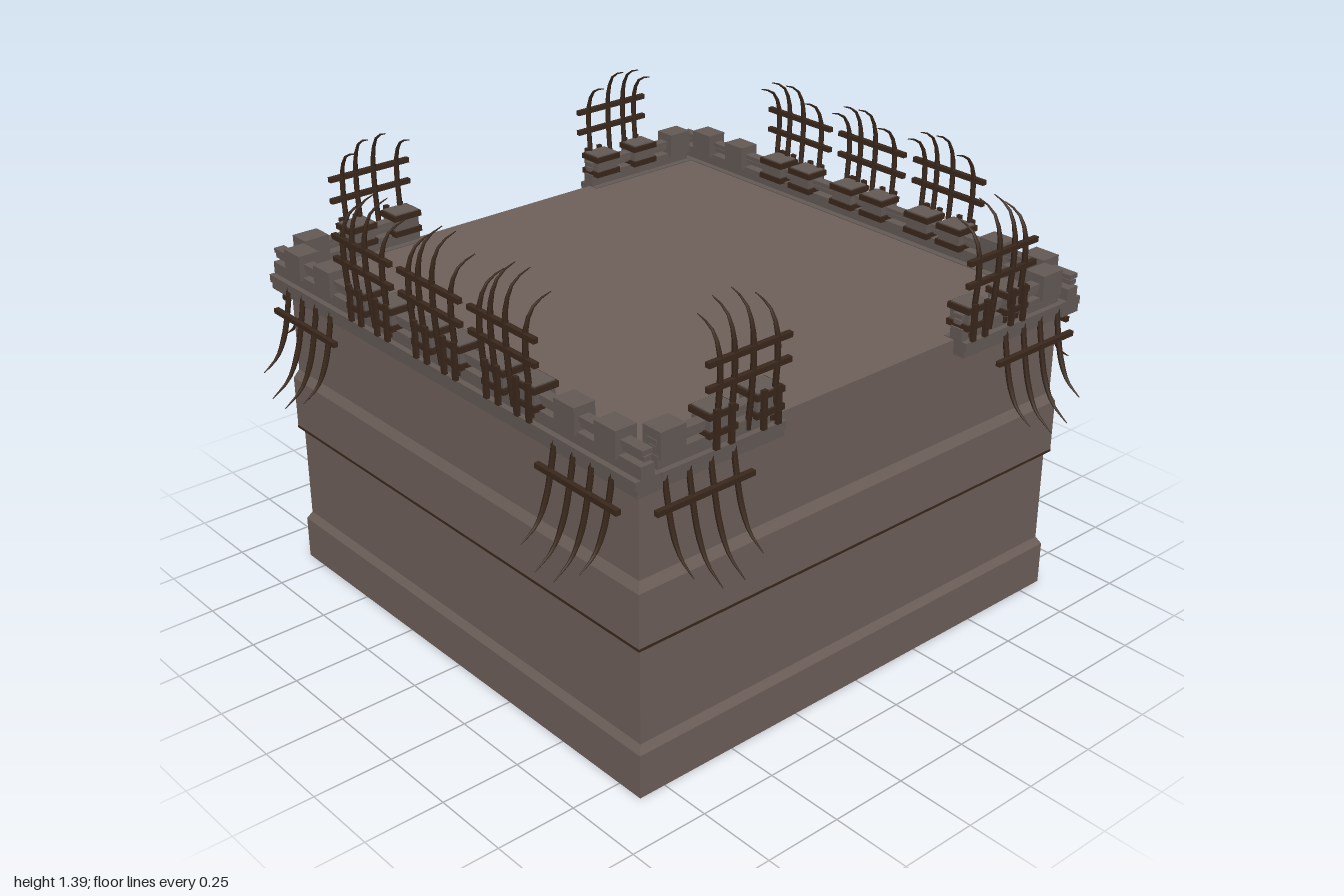
import * as THREE from 'three';

const body = new THREE.MeshStandardMaterial({ name: 'brown stone', color: 0x6e605a, side: THREE.DoubleSide });
const stone = new THREE.MeshStandardMaterial({ name: 'grey stone', color: 0x645a55 });
const wood = new THREE.MeshStandardMaterial({ name: 'dark wood', color: 0x3a281c });
const V = (x, y, z) => new THREE.Vector3(x, y, z);

function add(parent, name, geo, mat) {
  const mesh = new THREE.Mesh(geo, mat);
  mesh.name = name;
  parent.add(mesh);
  return mesh;
}

function box(parent, name, mat, w, h, d, x, y, z) {
  return add(parent, name, new THREE.BoxGeometry(w, h, d), mat).position.set(x, y, z);
}

// Curved bar that narrows to a point at its far end
function spike(parent, name, points, radius) {
  const n = 12, sides = 5;
  const curve = new THREE.CatmullRomCurve3(points);
  const geo = new THREE.TubeGeometry(curve, n, radius, sides);
  const pos = geo.attributes.position, p = V(0, 0, 0);
  for (let i = 0; i < pos.count; i++) {
    const t = Math.floor(i / (sides + 1)) / n;
    const c = curve.getPointAt(t);
    p.fromBufferAttribute(pos, i).sub(c).multiplyScalar(t < 0.6 ? 1 : 1 - (t - 0.6) * 2.1).add(c);
    pos.setXYZ(i, p.x, p.y, p.z);
  }
  add(parent, name, geo, wood);
}

// Upright fence of spikes hooking inwards at the top
function upperFence(side, u, flip) {
  const g = new THREE.Group();
  g.name = 'upperSpikeFence';
  const spikes = [[-0.1, 1.35], [-0.015, 1.39], [0.05, 1.385], [0.1, 1.35]];
  for (const [o, top] of spikes) {
    const s = (top - 1.1) / 0.29, x = u + flip * o;
    spike(g, 'upperSpike', [[0.85, -0.09], [0.863, 0.03], [0.868, 0.14], [0.86, 0.215], [0.832, 0.265], [0.78, 0.288]]
      .map(([d, h]) => V(x, 1.1 + (h > 0 ? h * s : h), d)), 0.009);
  }
  for (const y of [1.18, 1.25]) box(g, 'upperCrossbar', wood, 0.29, 0.016, 0.016, u, y, 0.868);
  side.add(g);
}

// Hanging spikes that flare outwards at the bottom
function lowerFence(side, sign) {
  const g = new THREE.Group();
  g.name = 'lowerSpikeFence';
  [[0.535, 0.72], [0.615, 0.68], [0.69, 0.685], [0.77, 0.735]].forEach(([u, bottom]) => {
    const s = (0.99 - bottom) / 0.31;
    spike(g, 'lowerSpike', [[0.862, 0], [0.878, 0.09], [0.902, 0.19], [0.94, 0.265], [1, 0.31]]
      .map(([d, h]) => V(sign * u, 0.99 - h * s, 0.862 + (d - 0.862) * s)), 0.009);
  });
  box(g, 'lowerCrossbar', wood, 0.335, 0.016, 0.016, sign * 0.652, 0.903, 0.886);
  side.add(g);
}

// Ledge, curb and twin rails along one stretch of wall
function parapet(side, from, to) {
  const w = to - from, u = (from + to) / 2;
  box(side, 'ledge', stone, w, 0.025, 0.075, u, 0.967, 0.827);
  box(side, 'ledgeCap', stone, w, 0.025, 0.085, u, 0.99, 0.828);
  box(side, 'curb', stone, w, 0.04, 0.045, u, 1.02, 0.83);
  box(side, 'lowerRail', stone, w, 0.014, 0.024, u, 1.058, 0.83);
  box(side, 'upperRail', stone, w, 0.014, 0.034, u, 1.076, 0.83);
}

function merlon(side, u, bound) {
  const g = new THREE.Group();
  g.name = bound ? 'boundMerlon' : 'merlon';
  g.position.set(u, 0, 0.827);
  box(g, 'block', stone, 0.085, 0.08, 0.07, 0, 1.07, 0);
  if (bound) {
    // Wooden bindings and short stakes around the block
    for (const y of [1.045, 1.097]) box(g, 'binding', wood, 0.1, 0.018, 0.082, 0, y, 0);
    for (const o of [-0.026, 0.026]) box(g, 'stake', wood, 0.016, 0.115, 0.012, o, 1.06, 0.042);
  }
  side.add(g);
}

export function createModel() {
  const model = new THREE.Group();
  model.name = 'fortifiedPlatform';

  // Hollow square base with stepped courses and a flat deck
  const profile = [[0.838, 0], [0.838, 0.14], [0.824, 0.165], [0.824, 0.475], [0.838, 0.475],
    [0.838, 0.65], [0.824, 0.68], [0.824, 1], [0, 1]];
  const geo = new THREE.LatheGeometry(profile.map(([r, y]) => new THREE.Vector2(r * Math.SQRT2, y)), 4, Math.PI / 4).toNonIndexed();
  geo.computeVertexNormals();
  add(model, 'base', geo, body);
  // Dark seam under the upper course
  for (let i = 0; i < 4; i++) {
    const seam = new THREE.Group();
    seam.name = 'seam';
    seam.rotation.y = i * Math.PI / 2;
    box(seam, 'seamStrip', wood, 1.676, 0.008, 0.009, 0, 0.478, 0.8345);
    model.add(seam);
  }

  // Front and back: short corner parapets around an open middle
  for (const [name, turn] of [['frontWall', 0], ['backWall', Math.PI]]) {
    const side = new THREE.Group();
    side.name = name;
    side.rotation.y = turn;
    for (const s of [-1, 1]) {
      parapet(side, s < 0 ? -0.785 : 0.355, s < 0 ? -0.355 : 0.785);
      merlon(side, s * 0.74, false);
      for (const u of [0.41, 0.575]) merlon(side, s * u, true);
      upperFence(side, s * 0.49, s);
      lowerFence(side, s);
    }
    model.add(side);
  }

  // Left and right: full-length parapets, mirrored across the model
  for (const [name, s] of [['leftWall', 1], ['rightWall', -1]]) {
    const side = new THREE.Group();
    side.name = name;
    side.rotation.y = s * Math.PI / 2;
    parapet(side, -0.868, 0.868);
    for (const u of [-0.74, -0.575, 0.575, 0.74]) merlon(side, u, false);
    for (const u of [-0.33, 0, 0.33]) {
      for (const o of [-0.08, 0.055]) merlon(side, s * (u + o), true);
      upperFence(side, s * u, s);
    }
    for (const e of [-1, 1]) lowerFence(side, e);
    model.add(side);
  }
  return model;
}
